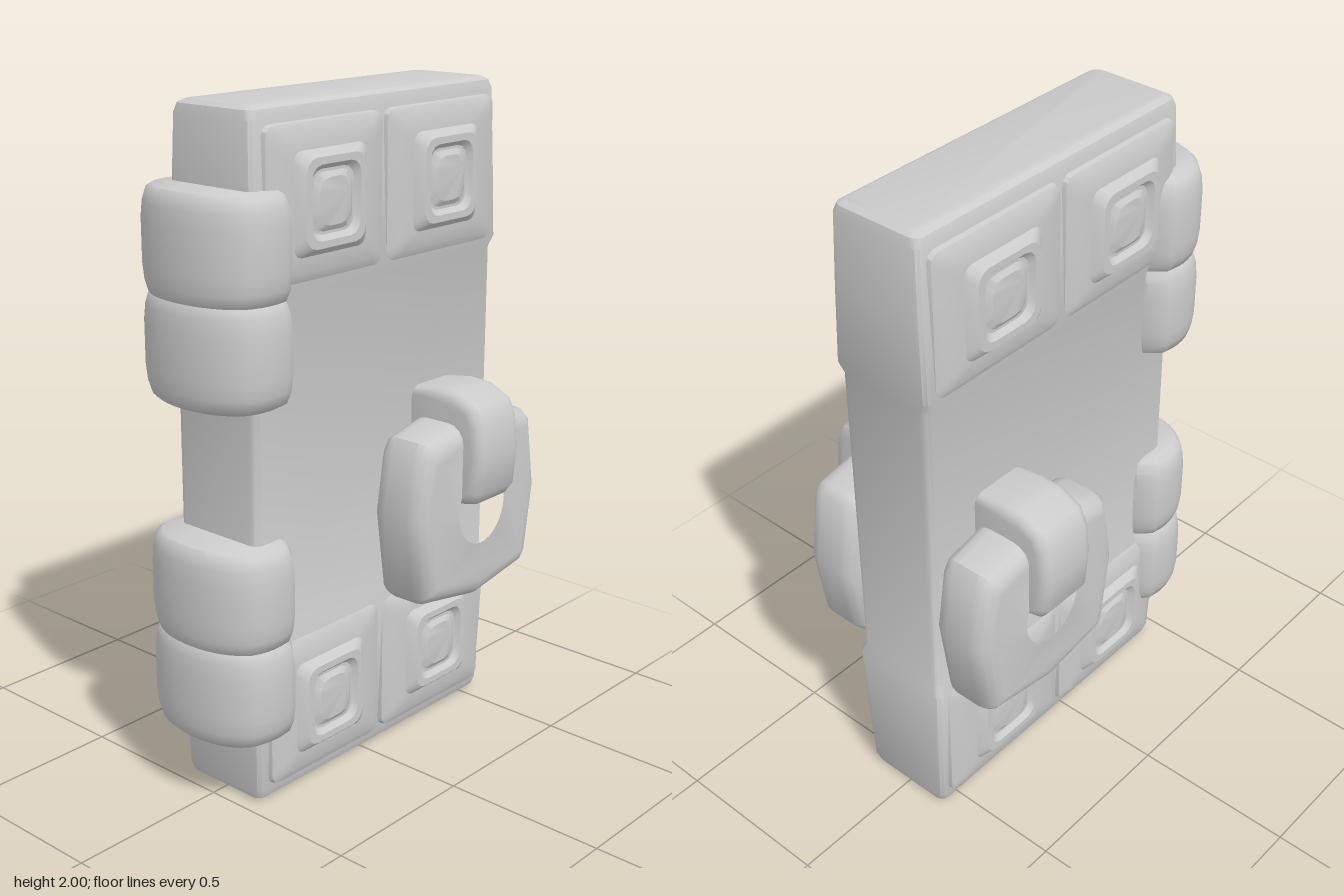
import * as THREE from 'three';
import { toCreasedNormals } from 'three/addons/utils/BufferGeometryUtils.js';

const material = new THREE.MeshStandardMaterial({ color: 0xcccccc });

function part(name, geometry, crease = 0.7) {
  const flat = geometry.index ? geometry.toNonIndexed() : geometry;
  const mesh = new THREE.Mesh(toCreasedNormals(flat, crease), material);
  mesh.name = name;
  return mesh;
}

// Closed solid along +z from counter-clockwise rings of [x, y, z]
function loft(rings) {
  const n = rings[0].length;
  const positions = rings.flat(2);
  const index = [];
  for (let i = 0; i < rings.length - 1; i++) {
    for (let j = 0; j < n; j++) {
      const a = i * n + j, b = i * n + (j + 1) % n;
      index.push(a, b, b + n, a, b + n, a + n);
    }
  }
  const last = (rings.length - 1) * n;
  for (let j = 1; j < n - 1; j++) {
    index.push(0, j + 1, j, last, last + j, last + j + 1);
  }
  const geometry = new THREE.BufferGeometry();
  geometry.setAttribute('position', new THREE.Float32BufferAttribute(positions, 3));
  geometry.setIndex(index);
  return geometry;
}

// Rounded rectangle ring with half sizes w, h and corner radius r
function rectRing(w, h, z, r) {
  const ring = [];
  const corners = [[1, 1], [-1, 1], [-1, -1], [1, -1]];
  corners.forEach(([sx, sy], k) => {
    for (let i = 0; i <= 3; i++) {
      const a = (k + i / 3) * Math.PI / 2;
      ring.push([sx * (w - r) + r * Math.cos(a), sy * (h - r) + r * Math.sin(a), z]);
    }
  });
  return ring;
}

// Door body: thin middle with flared bands at both ends
function doorSlab() {
  const half = [[0.005, 0.495, 0.125], [0.015, 0.51, 0.142], [0.04, 0.517, 0.15],
    [0.25, 0.524, 0.157], [0.48, 0.528, 0.165], [0.515, 0.518, 0.153]];
  const levels = [...half, ...half.slice().reverse().map(([y, w, d]) => [2.005 - y, w, d])];
  const rings = levels.map(([y, w, d]) => rectRing(w, d, y, 0.025));
  const mesh = part('doorSlab', loft(rings).rotateX(-Math.PI / 2), 0.5);
  mesh.position.x = 0.057;
  return mesh;
}

// Raised panel with a carved square and a boss in its middle
function panel(w, h) {
  const levels = [
    [w, h, 0.14, 0.03], [w - 0.005, h - 0.005, 0.165, 0.03], [w - 0.035, h - 0.03, 0.178, 0.03],
    [0.145, 0.142, 0.182, 0.03], [0.118, 0.122, 0.205, 0.04],
    [0.098, 0.102, 0.205, 0.04], [0.085, 0.088, 0.19, 0.04],
    [0.078, 0.08, 0.19, 0.04], [0.062, 0.065, 0.2, 0.04]
  ];
  return part('panel', loft(levels.map((l) => rectRing(...l))), 0.45);
}

// One hinge knuckle, D-shaped in plan with rounded ends
function knuckle(height) {
  const arc = [[0.09, -0.215], [0.02, -0.222], [-0.06, -0.2], [-0.115, -0.12], [-0.135, 0],
    [-0.115, 0.12], [-0.06, 0.2], [0.02, 0.222], [0.09, 0.215]];
  const curve = new THREE.CatmullRomCurve3(arc.map(([x, z]) => new THREE.Vector3(x, z, 0)));
  const outline = curve.getPoints(24).map((p) => [p.x, p.y]);
  outline.unshift([0.135, -0.165]);
  outline.push([0.135, 0.165]);
  outline.reverse();
  const ends = [[0, 0.83], [0.012, 0.92], [0.045, 0.975], [0.09, 1]];
  const levels = [...ends, ...ends.slice().reverse().map(([y, s]) => [height - y, s])];
  const rings = levels.map(([y, s]) => outline.map(([x, z]) => [x * s, z * s, y]));
  // Keep the rings counter-clockwise
  const area = THREE.ShapeUtils.area(outline.map(([x, y]) => new THREE.Vector2(x, y)));
  if (area < 0) rings.forEach((ring) => ring.reverse());
  return part('hingeKnuckle', loft(rings).rotateX(-Math.PI / 2), 0.75);
}

const toPoints = (list) => list.map(([x, y]) => new THREE.Vector2(x, y));

// Chunky angular ring and the loop that carries it
function knocker() {
  const group = new THREE.Group();
  const shape = new THREE.Shape(toPoints([[0.295, 0.0], [0.262, -0.22], [0.235, -0.255], [0, -0.295],
    [-0.235, -0.255], [-0.255, -0.235], [-0.292, 0.02], [-0.262, 0.205], [-0.235, 0.245],
    [-0.1, 0.275], [0.1, 0.275], [0.235, 0.25], [0.26, 0.225]]));
  const hole = new THREE.Path();
  hole.absellipse(0, 0.005, 0.165, 0.175, 0, Math.PI * 2, true);
  shape.holes.push(hole);
  const ring = part('knockerRing', new THREE.ExtrudeGeometry(shape, {
    depth: 0.08, bevelThickness: 0.058, bevelSize: 0.055, bevelOffset: -0.055, bevelSegments: 4, curveSegments: 16
  }), 0.75);
  ring.position.z = 0.212;

  // Loop profile in (depth, height), extruded across the ring
  const profile = new THREE.Shape(toPoints([[0.12, 0.05], [0.31, 0.02], [0.38, 0.035], [0.405, 0.07],
    [0.415, 0.18], [0.405, 0.28], [0.38, 0.335], [0.31, 0.368], [0.24, 0.372], [0.12, 0.355]]));
  const loop = part('knockerLoop', new THREE.ExtrudeGeometry(profile, {
    depth: 0.13, bevelThickness: 0.035, bevelSize: 0.035, bevelOffset: -0.035, bevelSegments: 4
  }).rotateY(-Math.PI / 2), 0.75);
  loop.position.x = 0.065;
  group.add(ring, loop);
  return group;
}

export function createModel() {
  const model = new THREE.Group();
  model.name = 'door';
  model.add(doorSlab());

  // Panels and knocker on both faces
  for (const [side, turn] of [['front', 0], ['back', Math.PI]]) {
    for (const y of [1.735, 0.27]) {
      for (const [x, w] of [[-0.19, 0.236], [0.305, 0.245]]) {
        const mesh = panel(w, 0.218);
        mesh.name = side + 'Panel';
        mesh.position.set(x, y, 0);
        mesh.rotation.y = turn;
        model.add(mesh);
      }
    }
    const handle = knocker();
    handle.name = side + 'Knocker';
    handle.position.set(0.302, 0.763, 0);
    // The ring is nearly symmetric, so the back one is simply turned
    handle.rotation.y = turn;
    model.add(handle);
  }

  // Two hinges of two knuckles each
  for (const [name, y] of [['lowerHinge', 0.22], ['upperHinge', 1.2]]) {
    const hinge = new THREE.Group();
    hinge.name = name;
    for (const k of [0, 1]) {
      const mesh = knuckle(0.305);
      mesh.position.set(-0.465, y + k * 0.28, 0);
      hinge.add(mesh);
    }
    model.add(hinge);
  }
  return model;
}
